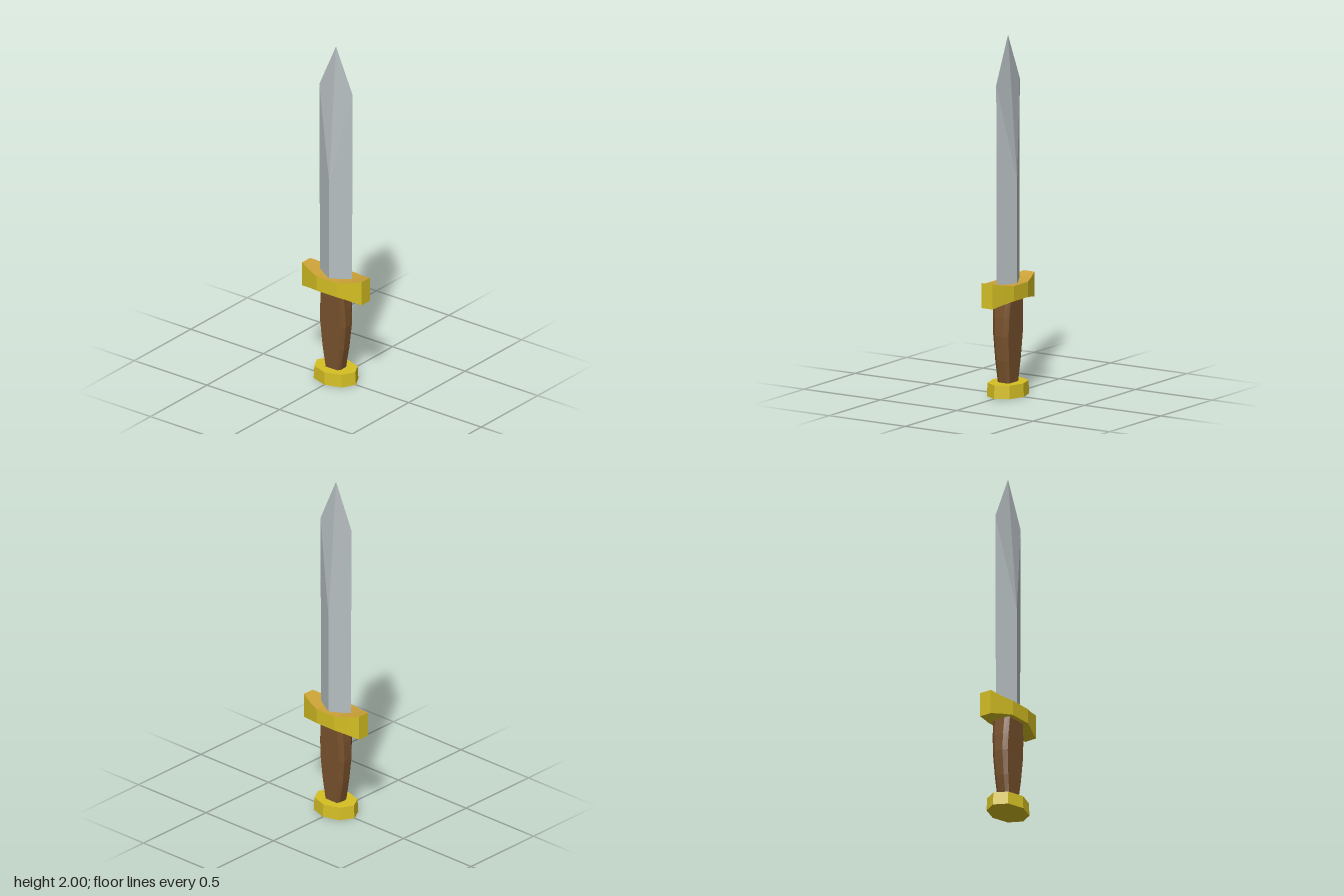
import * as THREE from 'three';

const steel = new THREE.MeshStandardMaterial({ color: 0xb6bec0 });
steel.name = 'steel';
const gold = new THREE.MeshStandardMaterial({ color: 0xd6c024 });
gold.name = 'gold';
const darkGold = new THREE.MeshStandardMaterial({ color: 0xcda338 });
darkGold.name = 'darkGold';
const wood = new THREE.MeshStandardMaterial({ color: 0x7a532d });
wood.name = 'wood';

// Faceted skin through rings of [x, y, z] points, capped at both ends.
// sideMaterial(j) gives the material index of the strip after point j.
function loft(rings, sideMaterial = () => 0) {
  const buckets = [[], []];
  const same = (p, q) => p.every((v, k) => v === q[k]);
  const tri = (m, a, b, c) => {
    if (!same(a, b) && !same(b, c) && !same(c, a)) buckets[m].push(...a, ...b, ...c);
  };
  const n = rings[0].length;
  for (let i = 0; i < rings.length - 1; i++) {
    for (let j = 0; j < n; j++) {
      const k = (j + 1) % n;
      const [a, b, c, d] = [rings[i][j], rings[i][k], rings[i + 1][k], rings[i + 1][j]];
      tri(sideMaterial(j), a, b, c);
      tri(sideMaterial(j), a, c, d);
    }
  }
  const first = rings[0], last = rings[rings.length - 1];
  for (let j = 1; j < n - 1; j++) {
    tri(0, first[0], first[j + 1], first[j]);
    tri(0, last[0], last[j], last[j + 1]);
  }
  const geometry = new THREE.BufferGeometry();
  geometry.setAttribute('position', new THREE.Float32BufferAttribute(buckets.flat(), 3));
  const count = buckets[0].length / 3;
  geometry.addGroup(0, count, 0);
  if (buckets[1].length) geometry.addGroup(count, buckets[1].length / 3, 1);
  geometry.computeVertexNormals();
  return geometry;
}

function addPart(group, name, geometry, material) {
  const mesh = new THREE.Mesh(geometry, material);
  mesh.name = name;
  group.add(mesh);
}

export function createModel() {
  const group = new THREE.Group();
  group.name = 'dagger';

  // Blade: diamond section whose ridge ends below the shoulders of the point
  const diamond = (w, ridgeY, edgeY, d) =>
    [[0, ridgeY, d], [w, edgeY, 0], [0, ridgeY, -d], [-w, edgeY, 0]];
  addPart(group, 'blade', loft([
    diamond(0.11, 0.58, 0.58, 0.06),
    diamond(0.115, 1.2, 1.74, 0.06),
    diamond(0, 2, 2, 0),
  ]), steel);

  // Guard: flares upward and downward, narrows toward its ends; top in darker gold
  const half = [[0.068, 0.084, 0.54, 0.625], [0.137, 0.06, 0.528, 0.635], [0.205, 0.036, 0.513, 0.652]];
  const stations = [...half.map(([x, ...r]) => [-x, ...r]).reverse(), ...half];
  addPart(group, 'guard', loft(
    stations.map(([x, z, low, high]) => [[x, high, -z], [x, high, z], [x, low, z], [x, low, -z]]),
    (j) => (j === 0 ? 1 : 0),
  ), [gold, darkGold]);

  // Grip: swelling bar with chamfered corners
  const grip = [[0.06, 0.049, 0.039], [0.2, 0.073, 0.045], [0.34, 0.088, 0.05], [0.44, 0.085, 0.054], [0.55, 0.074, 0.058]];
  addPart(group, 'grip', loft(grip.map(([y, w, d]) => {
    const cw = w * 0.79, cd = d * 0.55;
    return [[-cw, y, d], [cw, y, d], [w, y, cd], [w, y, -cd],
      [cw, y, -d], [-cw, y, -d], [-w, y, -cd], [-w, y, cd]];
  })), wood);

  // Pommel: flattened octagonal disc
  const octagon = (y, w, d) => Array.from({ length: 8 }, (_, j) => {
    const a = (j * Math.PI) / 4;
    return [w * Math.sin(a), y, d * Math.cos(a)];
  });
  addPart(group, 'pommel', loft([octagon(0, 0.137, 0.104), octagon(0.074, 0.132, 0.101)]), gold);

  return group;
}
